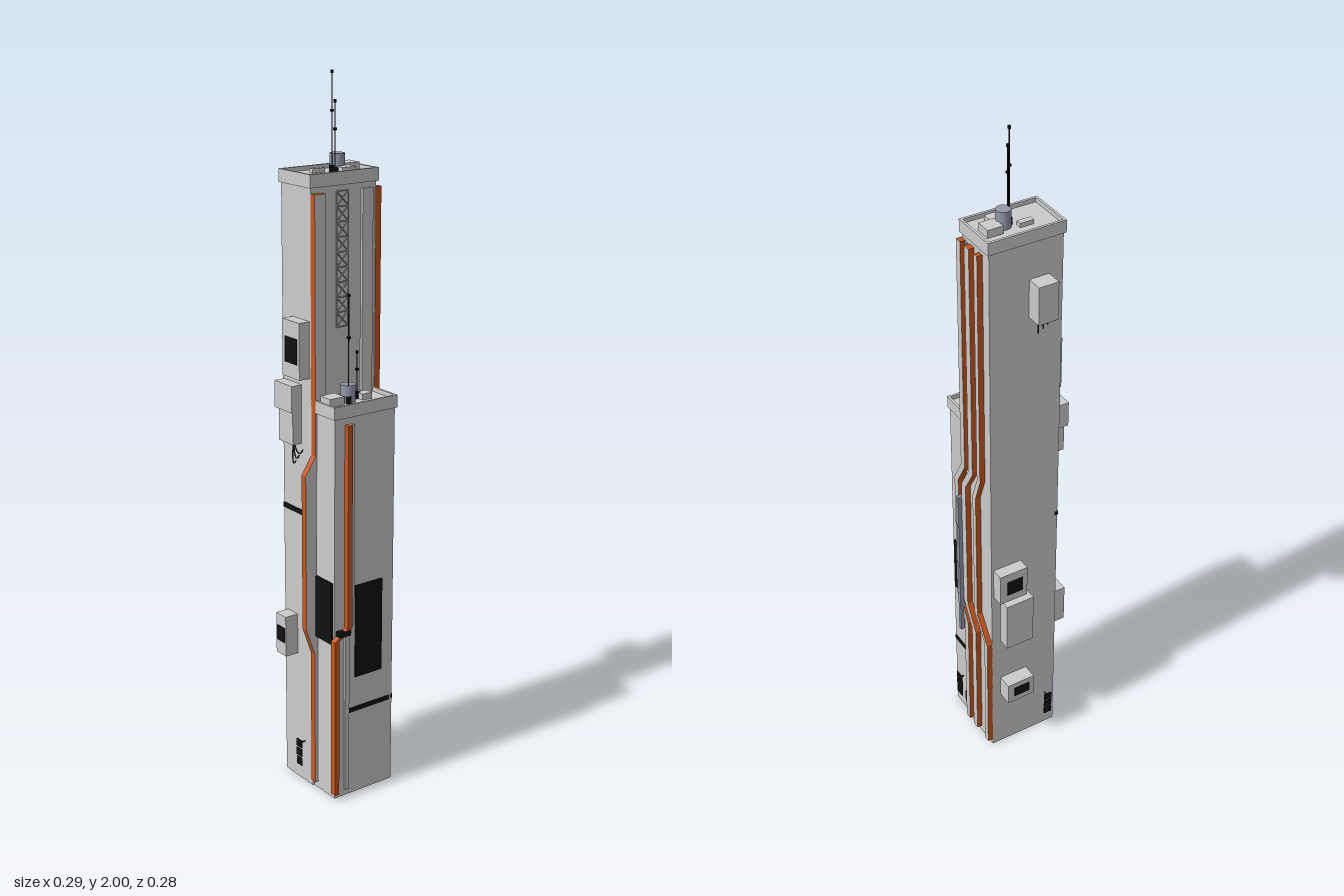
import * as THREE from 'three';

const mat = (color) => new THREE.MeshStandardMaterial({ color });
const GREY = mat(0xcccccc), ORANGE = mat(0xc8571e), BLACK = mat(0x111111), BLUE = mat(0x9298a8);

export function createModel() {
  const model = new THREE.Group();

  const add = (name, geometry, material = GREY) => {
    const mesh = new THREE.Mesh(geometry, material);
    mesh.name = name;
    model.add(mesh);
    return mesh;
  };
  // Box given by its limits on each axis
  const block = (name, x0, x1, y0, y1, z0, z1, material = GREY) => {
    const mesh = add(name, new THREE.BoxGeometry(x1 - x0, y1 - y0, z1 - z0), material);
    mesh.position.set((x0 + x1) / 2, (y0 + y1) / 2, (z0 + z1) / 2);
    return mesh;
  };
  // Thin bar between two points
  const bar = (name, a, b, r, material = GREY) => {
    const p = new THREE.Vector3(...a), q = new THREE.Vector3(...b);
    const mesh = add(name, new THREE.CylinderGeometry(r, r, p.distanceTo(q), 6), material);
    mesh.position.copy(p).add(q).multiplyScalar(0.5);
    mesh.quaternion.setFromUnitVectors(new THREE.Vector3(0, 1, 0), q.sub(p).normalize());
  };
  // Flat band following [offset, y] points, extruded off a wall
  const band = (name, path, width, depth, materials) => {
    const right = path.map(([u, y]) => new THREE.Vector2(u + width, y)).reverse();
    const left = path.map(([u, y]) => new THREE.Vector2(u, y));
    const geometry = new THREE.ExtrudeGeometry(new THREE.Shape([...left, ...right]), { depth, bevelEnabled: false });
    return add(name, geometry, materials);
  };
  // Band on a +x wall (offset runs along z)
  const sideBand = (name, x, depth, path, width, materials) => {
    const mesh = band(name, path.map(([z, y]) => [-z - width, y]), width, depth, materials);
    mesh.rotation.y = Math.PI / 2;
    mesh.position.x = x;
  };
  // Band on the back wall (offset runs along x)
  const backBand = (name, z, depth, path, width, materials) => {
    band(name, path, width, depth, materials).position.z = z - depth;
  };

  // Tower shaft with a cornice and a hollow roof edge
  const tower = (name, x0, x1, z0, z1, h) => {
    block(name + 'Shaft', x0, x1, 0, h - 0.015, z0, z1);
    block(name + 'Cornice', x0 - 0.005, x1 + 0.005, h - 0.035, h - 0.012, z0 - 0.005, z1 + 0.005);
    const t = 0.007, y0 = h - 0.012;
    for (const x of [x0 - 0.005, x1 + 0.005 - t]) block(name + 'Parapet', x, x + t, y0, h, z0 - 0.005, z1 + 0.005);
    for (const z of [z0 - 0.005, z1 + 0.005 - t]) block(name + 'Parapet', x0, x1, y0, h, z, z + t);
  };
  tower('tallTower', -0.1, 0.03, -0.115, 0.098, 1.75);
  tower('shortTower', 0.03, 0.128, -0.108, 0.093, 1.155);

  // Roof tanks, plant boxes and masts
  const tank = (x, z, y0, y1) =>
    add('roofTank', new THREE.CylinderGeometry(0.02, 0.02, y1 - y0, 20), BLUE).position.set(x, (y0 + y1) / 2, z);
  tank(-0.035, -0.036, 1.735, 1.787);
  tank(0.073, 0.008, 1.14, 1.192);
  block('roofUnit', -0.066, -0.021, 1.73, 1.76, -0.098, -0.053);
  block('roofUnit', -0.021, 0.011, 1.73, 1.755, -0.063, -0.019);
  block('roofUnit', -0.062, -0.045, 1.73, 1.75, -0.004, 0.036);
  block('roofUnit', 0.059, 0.086, 1.135, 1.16, -0.063, -0.031);
  block('roofUnit', 0.045, 0.09, 1.135, 1.165, 0.033, 0.081);
  const masts = [[-0.032, -0.017, 1.735, 2], [0.008, 0.003, 1.735, 1.93], [0.088, 0.018, 1.14, 1.44], [0.062, -0.03, 1.14, 1.275]];
  masts.forEach(([x, z, y0, y1]) => {
    bar('mast', [x, y0, z], [x, y1, z], 0.0018, BLACK);
    block('mastFoot', x - 0.006, x + 0.006, y0, y0 + 0.022, z - 0.006, z + 0.006, BLACK);
    block('mastTip', x - 0.003, x + 0.003, y1 - 0.008, y1, z - 0.003, z + 0.003, BLACK);
    const my = y0 + (y1 - y0) * 0.6;
    block('mastClamp', x - 0.004, x + 0.004, my, my + 0.006, z - 0.004, z + 0.004, BLACK);
  });

  // Orange-edged conduits, stepping outward at mid height
  const trim = [GREY, ORANGE];
  sideBand('frontConduit', 0.03, 0.019, [[0.063, 1.7], [0.063, 1.0], [0.096, 0.95], [0.096, 0.5], [0.068, 0.42], [0.068, 0.02]], 0.035, trim);
  sideBand('rearSideConduit', 0.03, 0.008, [[-0.1, 1.7], [-0.1, 1.1]], 0.035, GREY);
  sideBand('shortTowerConduit', 0.126, 0.018, [[0.045, 1.1], [0.045, 0.52], [0.089, 0.49], [0.089, 0.02]], 0.015, ORANGE);
  sideBand('shortTowerDuct', 0.126, 0.008, [[0.031, 1.1], [0.031, 0.53], [0.047, 0.5], [0.047, 0.02]], 0.014, GREY);
  block('conduitClamp', 0.126, 0.146, 0.5, 0.515, 0.05, 0.088, BLACK);
  const steps = [
    [0.012, 0.05, 0.01, 0.02], [-0.03, 0.01, -0.035, 0.022], [-0.07, -0.045, -0.1, 0.016],
  ];
  steps.forEach(([a, b, c, w]) =>
    backBand('backConduit', -0.112, 0.019, [[a, 1.7], [a, 1.0], [b, 0.93], [b, 0.5], [c, 0.42], [c, 0.02]], w, trim));
  block('backDuct', 0.035, 0.046, 0.38, 0.88, -0.141, -0.105, BLUE);

  // Lattice strips of crossed bars on the tall tower
  const lattice = (name, place, u0, u1, y0, y1, n) => {
    const h = (y1 - y0) / n, r = 0.0018;
    for (const u of [u0, u1]) bar(name, place(u, y0), place(u, y1), r);
    for (let i = 0; i <= n; i++) {
      const y = y0 + i * h;
      bar(name, place(u0, y), place(u1, y), r);
      if (i === n) break;
      bar(name, place(u0, y), place(u1, y + h), r);
      bar(name, place(u1, y), place(u0, y + h), r);
    }
  };
  lattice('sideLattice', (u, y) => [0.034, y, u], -0.021, 0.017, 1.34, 1.7, 9);
  lattice('backLattice', (u, y) => [u, y, -0.119], -0.005, 0.008, 1.34, 1.7, 18);

  // Equipment boxes on the front wall
  block('frontBox', -0.053, 0.024, 1.21, 1.365, 0.095, 0.132);
  block('frontBoxScreen', -0.04, 0.015, 1.25, 1.32, 0.13, 0.134, BLACK);
  block('frontCabinet', -0.095, -0.015, 1.11, 1.185, 0.095, 0.13);
  block('frontCabinetLower', -0.08, -0.015, 1.02, 1.11, 0.095, 0.127);
  block('frontLowBox', -0.086, -0.04, 0.39, 0.51, 0.095, 0.139);
  block('frontLowScreen', -0.08, -0.045, 0.43, 0.475, 0.138, 0.141, BLACK);
  // Loose cables below the cabinet
  [[-0.028, 0.945], [-0.012, 0.965], [0.005, 0.985]].forEach(([x, y]) => {
    const curve = new THREE.QuadraticBezierCurve3(
      new THREE.Vector3(-0.03, 1.03, 0.115), new THREE.Vector3(x - 0.012, y - 0.01, 0.115), new THREE.Vector3(x + 0.01, y + 0.03, 0.115));
    add('cable', new THREE.TubeGeometry(curve, 10, 0.002, 5), BLACK);
  });

  // Equipment boxes on the right wall
  block('rightTopBox', -0.146, -0.095, 1.5, 1.61, 0, 0.058);
  block('rightBox', -0.136, -0.095, 0.6, 0.7, -0.108, -0.02);
  block('rightBoxScreen', -0.138, -0.13, 0.625, 0.672, -0.085, -0.035, BLACK);
  block('rightCabinet', -0.138, -0.095, 0.42, 0.58, -0.087, 0);
  block('rightLowBox', -0.144, -0.095, 0.2, 0.27, -0.087, 0);
  block('rightLowScreen', -0.146, -0.14, 0.22, 0.252, -0.065, -0.015, BLACK);
  for (const z of [0.015, 0.03, 0.043]) bar('cable', [-0.12, 1.51, z], [-0.12, 1.45 + z * 0.6, z], 0.002, BLACK);

  // Dark window panels and wall bands
  block('frontWindow', 0.048, 0.12, 0.475, 0.655, 0.09, 0.1, BLACK);
  block('backWindow', 0.075, 0.118, 0.475, 0.655, -0.112, -0.1, BLACK);
  block('sideWindow', 0.12, 0.132, 0.36, 0.635, -0.068, 0.024, BLACK);
  block('frontStripe', -0.1, 0.024, 0.815, 0.829, 0.09, 0.101, BLACK);
  block('sideStripe', 0.12, 0.131, 0.255, 0.268, -0.097, 0.047, BLACK);
  block('backStripe', 0.055, 0.128, 0.255, 0.268, -0.111, -0.1, BLACK);

  // Small stacked panels standing off the walls near the ground
  for (let i = 0; i < 3; i++) {
    const y = 0.057 + i * 0.028;
    block('frontPanel', -0.02, 0.005, y, y + 0.023, 0.116, 0.119, BLACK);
    block('rightPanel', -0.12, -0.117, y, y + 0.023, 0.055, 0.08, BLACK);
    block('backPanel', 0.072, 0.102, y, y + 0.026, -0.123, -0.12, BLACK);
  }
  block('backLowPanel', 0.032, 0.05, 0.055, 0.1, -0.123, -0.12, BLACK);
  bar('panelBracket', [-0.008, 0.125, 0.095], [-0.008, 0.125, 0.117], 0.002, BLACK);
  bar('panelBracket', [-0.098, 0.125, 0.068], [-0.118, 0.125, 0.068], 0.002, BLACK);
  bar('panelBracket', [0.087, 0.125, -0.105], [0.087, 0.125, -0.121], 0.002, BLACK);

  return model;
}
